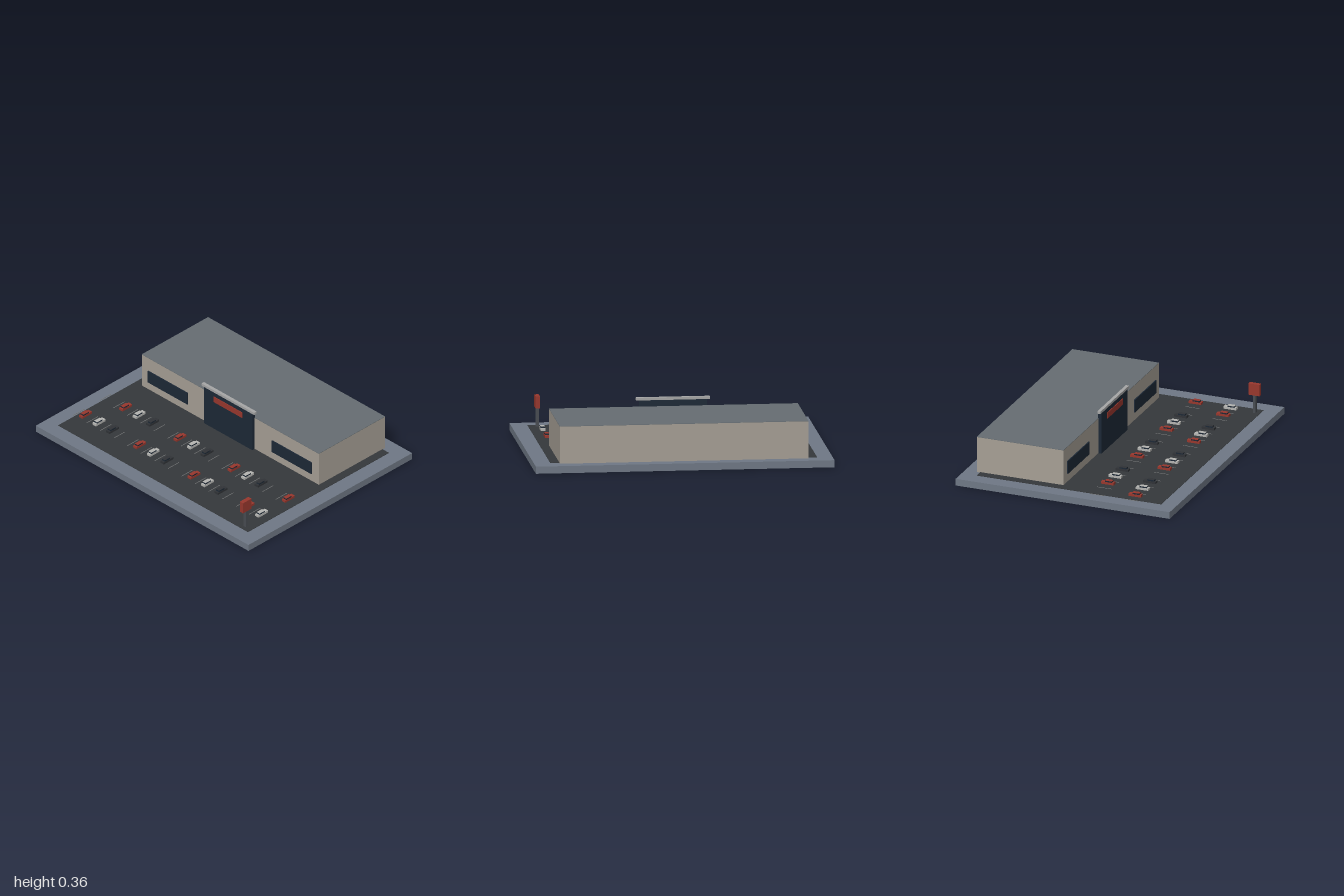
import * as THREE from 'three';

const mat = (color) => new THREE.MeshStandardMaterial({ color });
const M = {
  kerb: mat(0x6f7885), asphalt: mat(0x35383b), wall: mat(0xa69f95), roof: mat(0x666d72),
  glass: mat(0x1c2836), trim: mat(0xa6a6a6), red: mat(0x98372d), white: mat(0xb5b5b2),
  dark: mat(0x303337), line: mat(0x77797a), pole: mat(0x484c52),
};

// Box given by its extents on each axis
function box(parent, name, material, [x0, x1], [y0, y1], [z0, z1]) {
  const mesh = new THREE.Mesh(new THREE.BoxGeometry(x1 - x0, y1 - y0, z1 - z0), material);
  mesh.position.set((x0 + x1) / 2, (y0 + y1) / 2, (z0 + z1) / 2);
  mesh.name = name;
  parent.add(mesh);
  return mesh;
}

function makeGroup(parent, name) {
  const g = new THREE.Group();
  g.name = name;
  parent.add(g);
  return g;
}

// Small car, long along x, with a dark glazed cabin and painted roof
function addCar(parent, paint, x, z) {
  const car = makeGroup(parent, 'car');
  box(car, 'carBody', paint, [-0.045, 0.045], [0.058, 0.074], [-0.016, 0.016]);
  box(car, 'carCabin', M.glass, [-0.032, 0.018], [0.074, 0.083], [-0.014, 0.014]);
  box(car, 'carRoof', paint, [-0.032, 0.018], [0.083, 0.085], [-0.014, 0.014]);
  car.position.set(x, 0, z);
}

export function createModel() {
  const model = new THREE.Group();
  model.name = 'storeWithCarPark';

  // Ground
  box(model, 'basePlate', M.kerb, [-0.77, 0.77], [0, 0.048], [-1, 1]);
  box(model, 'asphalt', M.asphalt, [-0.665, 0.66], [0.046, 0.051], [-0.895, 0.89]);

  // Store building
  const store = makeGroup(model, 'store');
  box(store, 'walls', M.wall, [0.062, 0.685], [0.048, 0.299], [-0.835, 0.83]);
  box(store, 'roof', M.roof, [0.062, 0.685], [0.299, 0.302], [-0.835, 0.83]);
  box(store, 'entrance', M.glass, [0.039, 0.063], [0.05, 0.343], [-0.227, 0.227]);
  box(store, 'entranceCap', M.trim, [0.037, 0.06], [0.343, 0.361], [-0.248, 0.248]);
  box(store, 'entranceSign', M.red, [0.034, 0.04], [0.268, 0.31], [-0.135, 0.135]);
  for (const z of [-0.587, 0.58]) {
    box(store, 'shopWindow', M.glass, [0.054, 0.064], [0.11, 0.2], [z - 0.187, z + 0.187]);
  }

  // Two rows of bays: red, white, dark, empty, with the second row one bay behind
  const parking = makeGroup(model, 'parking');
  const paints = [M.red, M.white, M.dark, null];
  [-0.46, -0.21].forEach((x, row) => {
    for (let i = 0; i < 14; i++) {
      const z = -0.843 + 0.1275 * i;
      const paint = paints[(i - row + 4) % 4];
      if (paint) addCar(parking, paint, x, z);
      box(parking, 'bayLine', M.line, [x - 0.052, x + 0.052], [0.05, 0.0525], [z - 0.066, z - 0.062]);
    }
  });

  // Roadside sign
  const sign = makeGroup(model, 'roadsideSign');
  box(sign, 'signPole', M.pole, [-0.637, -0.617], [0.05, 0.18], [0.82, 0.842]);
  box(sign, 'signPanel', M.red, [-0.667, -0.587], [0.178, 0.259], [0.816, 0.846]);

  return model;
}
